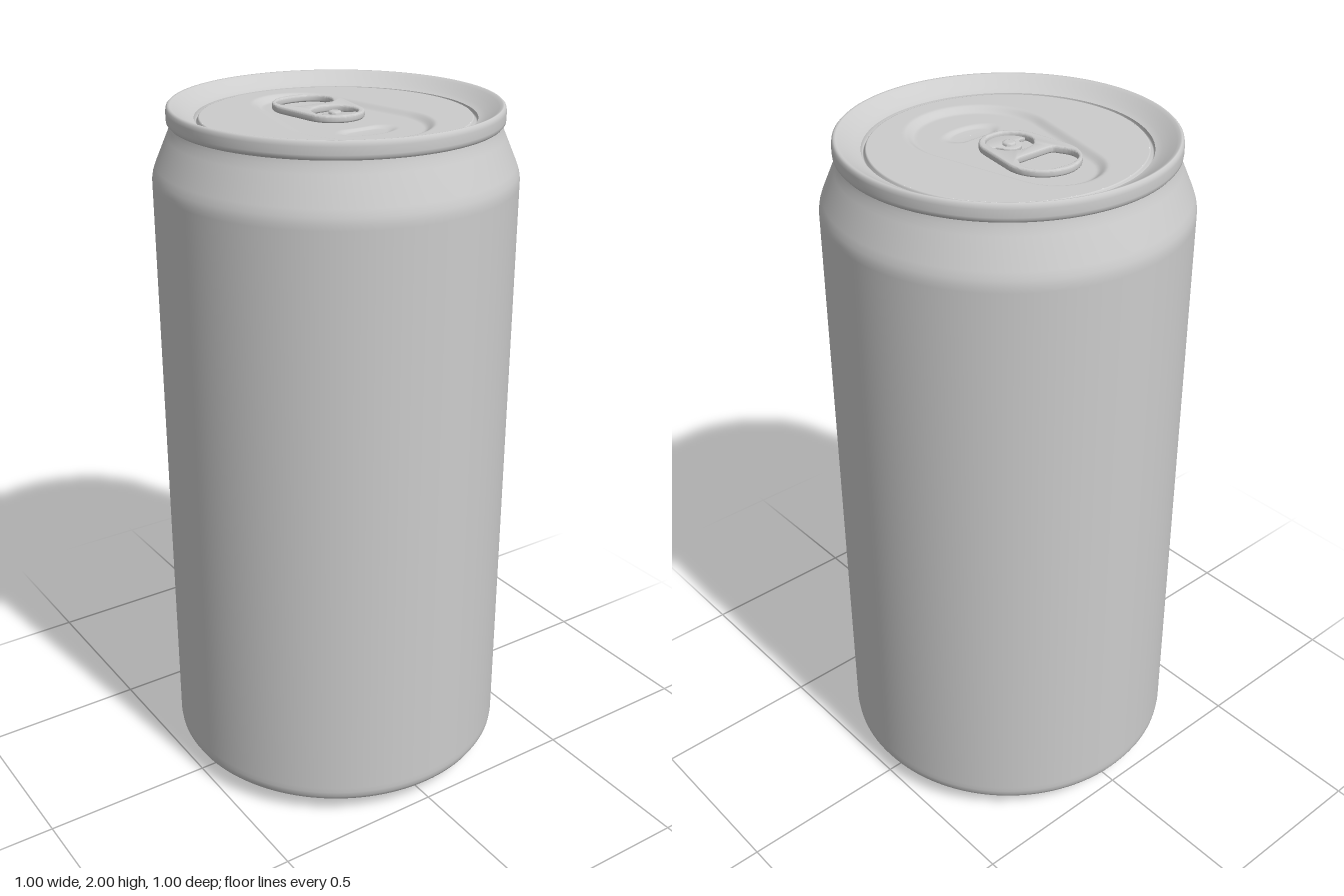
import * as THREE from 'three';
import { toCreasedNormals } from 'three/addons/utils/BufferGeometryUtils.js';

const PANEL = 1.965, FLOOR = 1.95; // lid panel and recessed floor heights
const SEG = 128;

const v2 = (list) => list.map(([x, y]) => new THREE.Vector2(x, y));

// Signed distance to a teardrop: circle r0 at z0 joined to circle r1 at z0 - h
function teardrop(x, z, z0, r0, r1, h) {
  const px = Math.abs(x), py = z0 - z;
  const b = (r0 - r1) / h, a = Math.sqrt(1 - b * b);
  const k = -b * px + a * py;
  if (k < 0) return Math.hypot(px, py) - r0;
  if (k > a * h) return Math.hypot(px, py - h) - r1;
  return a * px + b * py - r0;
}

// Thumb dimple: an ellipse with a dip in its back edge
function dimple(x, z) {
  const dz = z - 0.15;
  const half = dz < 0 ? 0.05 - 0.013 * Math.max(0, 1 - (x / 0.055) ** 2) : 0.05;
  return 0.05 * (Math.hypot(x / 0.092, dz / half) - 1);
}

// Pressed lid panel: loops from the outer circle inward, each a contour at a height
function lidPanel() {
  const smooth = (t) => t * t * (3 - 2 * t);
  const drop = (x, z) => teardrop(x, z, 0.115, 0.2, 0.135, 0.295);
  const rings = [[(x, z) => Math.hypot(x, z) - 0.367, PANEL]];
  rings.push([(x, z) => drop(x, z) - 0.006, PANEL]);
  for (let i = 0; i <= 6; i++) {
    const t = i / 6;
    rings.push([(x, z) => drop(x, z) + 0.03 * t, PANEL + (FLOOR - PANEL) * smooth(t)]);
  }
  rings.push([(x, z) => drop(x, z) + 0.036, FLOOR]);
  rings.push([(x, z) => dimple(x, z) - 0.004, FLOOR]);
  for (let i = 0; i <= 4; i++) {
    const t = i / 4;
    rings.push([(x, z) => dimple(x, z) + 0.018 * t, FLOOR - 0.007 * smooth(t)]);
  }
  rings.push([(x, z) => Math.hypot(x, z - 0.15) - 0.0005, FLOOR - 0.007]);

  const pos = [], index = [];
  rings.forEach(([f, y], i) => {
    for (let j = 0; j < SEG; j++) {
      const s = Math.sin((j / SEG) * Math.PI * 2), c = Math.cos((j / SEG) * Math.PI * 2);
      let lo = 0, hi = 0.6;
      for (let n = 0; n < 24; n++) {
        const m = (lo + hi) / 2;
        if (f(s * m, 0.15 + c * m) < 0) lo = m; else hi = m;
      }
      pos.push(s * lo, y, 0.15 + c * lo);
      if (i === rings.length - 1) continue;
      const a = i * SEG + j, b = i * SEG + ((j + 1) % SEG);
      index.push(a, b, a + SEG, b, b + SEG, a + SEG);
    }
  });
  const g = new THREE.BufferGeometry();
  g.setAttribute('position', new THREE.Float32BufferAttribute(pos, 3));
  g.setIndex(index);
  g.computeVertexNormals();
  return g;
}

// Flat plate lying on the lid; shape y points to the back
function plate(shape, depth, bevel, y) {
  const g = new THREE.ExtrudeGeometry(shape, {
    depth: depth - 2 * bevel, bevelThickness: bevel, bevelSize: bevel,
    bevelOffset: -bevel, bevelSegments: 3, curveSegments: 24,
  });
  g.rotateX(-Math.PI / 2).translate(0, y + bevel, 0);
  return toCreasedNormals(g, 0.6);
}

function tabShape() {
  // Outline: wide round back end, narrower round front end
  const z0 = -0.13, r0 = 0.104, r1 = 0.086, h = 0.115;
  const tilt = Math.asin((r0 - r1) / h);
  const shape = new THREE.Shape();
  shape.absarc(0, -z0, r0, -tilt, Math.PI + tilt, false);
  shape.absarc(0, -z0 - h, r1, Math.PI + tilt, Math.PI * 2 - tilt, false);
  shape.closePath();

  // Finger hole
  const hole = new THREE.Path();
  hole.moveTo(-0.05, 0.103);
  hole.lineTo(0.05, 0.103);
  hole.quadraticCurveTo(0.062, 0.104, 0.068, 0.118);
  hole.bezierCurveTo(0.079, 0.138, 0.088, 0.155, 0.078, 0.178);
  hole.bezierCurveTo(0.06, 0.231, -0.06, 0.231, -0.078, 0.178);
  hole.bezierCurveTo(-0.088, 0.155, -0.079, 0.138, -0.068, 0.118);
  hole.quadraticCurveTo(-0.062, 0.104, -0.05, 0.103);

  // Round opening around the rivet
  const ring = new THREE.Path();
  ring.absarc(0, 0.006, 0.063, 0, Math.PI * 2, true);
  shape.holes.push(hole, ring);
  return shape;
}

// Tongue that the rivet holds down
function tongueShape() {
  const s = new THREE.Shape();
  s.absarc(0, 0.006, 0.0625, Math.PI + 0.13, Math.PI * 2 - 0.13, false);
  s.lineTo(0.05, -0.004);
  s.quadraticCurveTo(0.037, -0.004, 0.033, 0.01);
  s.absarc(0, 0.005, 0.033, 0.2, Math.PI - 0.2, false);
  s.quadraticCurveTo(-0.037, -0.004, -0.05, -0.004);
  s.closePath();
  return s;
}

export function createModel() {
  const can = new THREE.Group();
  can.name = 'drinkCan';
  const metal = new THREE.MeshStandardMaterial({ color: 0xcccccc });
  metal.name = 'aluminium';
  const add = (name, geometry) => {
    const mesh = new THREE.Mesh(geometry, metal);
    mesh.name = name;
    can.add(mesh);
    return mesh;
  };
  const lathe = (points, seg = SEG) => new THREE.LatheGeometry(v2(points), seg);

  // Domed underside
  const dome = [];
  for (let i = 0; i <= 14; i++) {
    const r = 0.4 * (i / 14);
    dome.push([r, 0.1 * (1 - (r / 0.4) ** 2)]);
  }
  add('baseDome', lathe(dome));

  // Foot, wall and shoulder
  add('body', lathe([
    [0.4, 0], [0.408, 0.001], [0.416, 0.006], [0.476, 0.045], [0.49, 0.056],
    [0.498, 0.07], [0.5, 0.085], [0.5, 0.1], [0.5, 1.79], [0.5, 1.805],
    [0.497, 1.822], [0.49, 1.842], [0.457, 1.918], [0.449, 1.937], [0.446, 1.952],
  ]));

  // Rolled rim, sloping inner wall and groove around the panel
  add('rim', lathe([
    [0.444, 1.95], [0.45, 1.951], [0.455, 1.957], [0.456, 1.965], [0.456, 1.985],
    [0.454, 1.995], [0.449, 2], [0.444, 1.999], [0.436, 1.994], [0.42, 1.983],
    [0.4, 1.971], [0.388, 1.966], [0.3815, 1.964],
  ]));
  add('panelGroove', lathe([
    [0.3815, 1.964], [0.38, 1.955], [0.377, 1.952], [0.374, 1.954],
    [0.371, 1.962], [0.369, 1.9645], [0.367, PANEL],
  ]));
  add('lidPanel', lidPanel());

  // Pull tab with its tongue and rivet
  add('pullTab', plate(tabShape(), 0.02, 0.005, FLOOR + 0.006));
  add('tabTongue', plate(tongueShape(), 0.01, 0.002, FLOOR + 0.006));
  const rivet = add('rivet', toCreasedNormals(lathe([
    [0.018, 0], [0.018, 0.02], [0.016, 0.023], [0.01, 0.0245], [0, 0.025],
  ], 32), 0.8));
  rivet.position.set(0, FLOOR, -0.005);

  return can;
}
